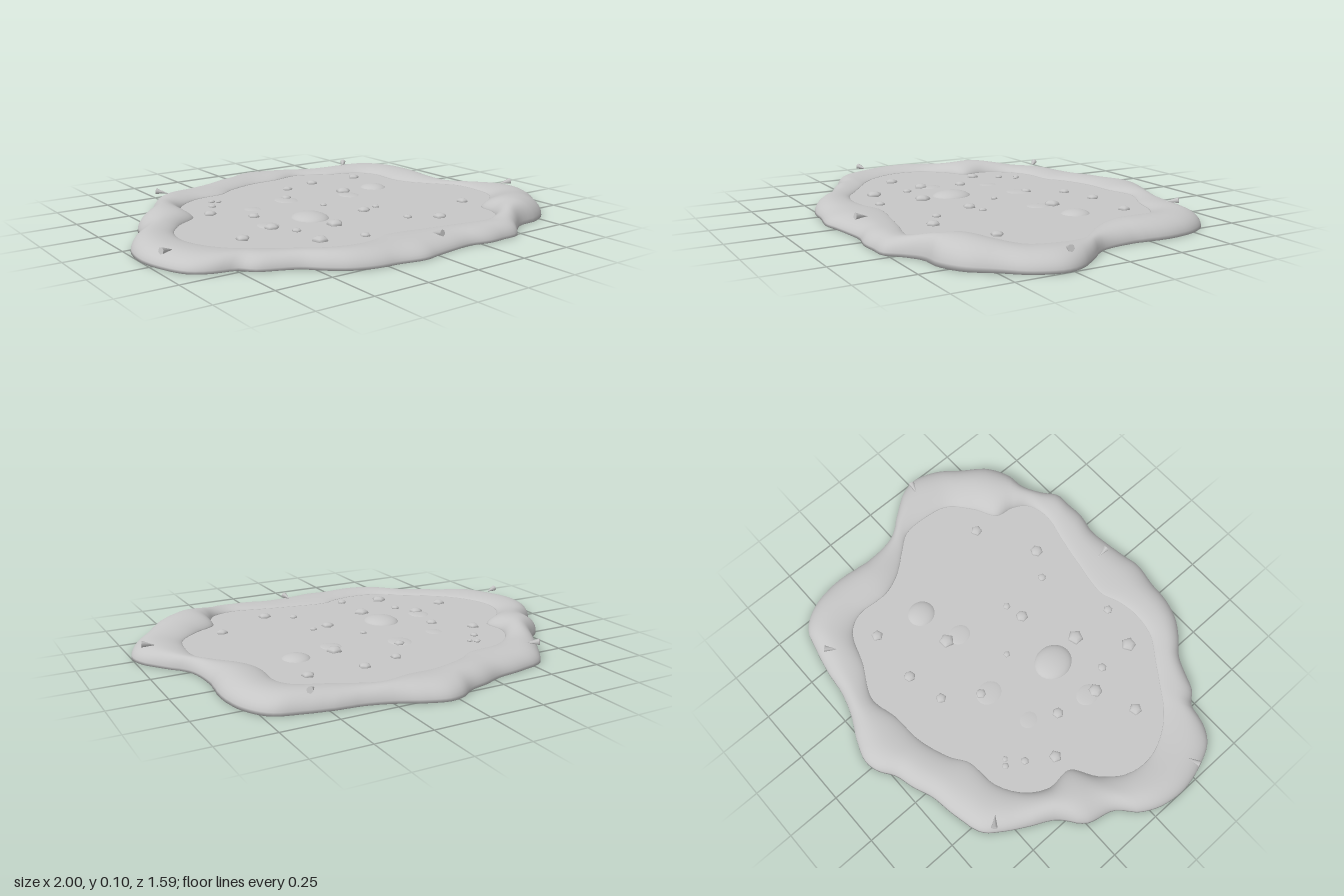
import * as THREE from 'three';

const FLOOR = 0.045, FLOOR_DEPTH = 0.022;

// Plan outlines as x, z pairs
const OUTER = [0.04, -0.8, 0.14, -0.77, 0.25, -0.715, 0.36, -0.68, 0.48, -0.665, 0.6, -0.64, 0.72, -0.6,
  0.79, -0.5, 0.82, -0.35, 0.805, -0.15, 0.83, 0, 0.91, 0.1, 0.98, 0.2, 1, 0.28, 0.96, 0.4, 0.88, 0.5,
  0.8, 0.6, 0.7, 0.65, 0.6, 0.66, 0.52, 0.71, 0.46, 0.765, 0.38, 0.77, 0.3, 0.775, 0.2, 0.755, 0.1, 0.765,
  0, 0.78, -0.08, 0.795, -0.2, 0.775, -0.3, 0.765, -0.4, 0.73, -0.48, 0.67, -0.54, 0.61, -0.62, 0.57,
  -0.7, 0.535, -0.75, 0.48, -0.84, 0.46, -0.92, 0.41, -0.97, 0.31, -1, 0.18, -0.985, 0.05, -0.94, -0.04,
  -0.86, -0.12, -0.82, -0.25, -0.72, -0.34, -0.66, -0.45, -0.6, -0.55, -0.54, -0.62, -0.4, -0.66,
  -0.28, -0.68, -0.19, -0.715, -0.1, -0.74, -0.03, -0.785];
const INNER = [0.1, -0.57, 0.24, -0.595, 0.4, -0.52, 0.55, -0.46, 0.6, -0.38, 0.6, -0.22, 0.64, -0.12,
  0.72, -0.02, 0.78, 0.06, 0.785, 0.2, 0.76, 0.3, 0.66, 0.39, 0.56, 0.45, 0.545, 0.53, 0.5, 0.6, 0.4, 0.63,
  0.25, 0.6, 0.1, 0.57, -0.08, 0.545, -0.16, 0.575, -0.26, 0.59, -0.38, 0.57, -0.5, 0.49, -0.6, 0.42,
  -0.68, 0.36, -0.76, 0.26, -0.8, 0.14, -0.78, 0.02, -0.7, -0.08, -0.6, -0.15, -0.6, -0.27, -0.54, -0.37,
  -0.43, -0.44, -0.28, -0.46, -0.2, -0.51, -0.05, -0.56];
// Rim crest height every 20 degrees, from +x towards +z
const CREST = [0.058, 0.072, 0.104, 0.063, 0.058, 0.06, 0.066, 0.06, 0.062, 0.072, 0.098, 0.072, 0.068, 0.072,
  0.072, 0.064, 0.075, 0.078];

// Radius of a smooth closed outline as a function of angle
function polar(list) {
  const pts = [];
  for (let i = 0; i < list.length; i += 2) pts.push(new THREE.Vector3(list[i], 0, list[i + 1]));
  const samples = new THREE.CatmullRomCurve3(pts, true).getPoints(1500).slice(0, -1)
    .map(p => [(Math.atan2(p.z, p.x) + 2 * Math.PI) % (2 * Math.PI), Math.hypot(p.x, p.z)])
    .sort((a, b) => a[0] - b[0]);
  return angle => {
    const k = samples.findIndex(s => s[0] >= angle);
    return k < 0 ? samples[samples.length - 1][1] : samples[k][1];
  };
}

function crest(angle) {
  const n = CREST.length, t = angle / (2 * Math.PI) * n, i = Math.floor(t) % n;
  const f = (1 - Math.cos((t - Math.floor(t)) * Math.PI)) / 2;
  return CREST[i] * (1 - f) + CREST[(i + 1) % n] * f;
}

// Rounded lumpy ring: a closed cross-section swept round the outlines, smooth all the way round
function rimGeometry(outer, inner) {
  const N = 240, M = 16, rings = M + 4, pos = [], idx = [];
  for (let i = 0; i < N; i++) {
    const a = i / N * Math.PI * 2, ro = outer(a), ri = inner(a), h = crest(a);
    const add = (r, y) => pos.push(r * Math.cos(a), y, r * Math.sin(a));
    // Top: steep outside, easing gently on to the floor inside
    for (let j = 0; j <= M; j++) {
      const p = j / M * Math.PI, s = Math.sin(p);
      add((ro + ri) / 2 + (ro - ri) / 2 * Math.cos(p), j <= M / 2 ? h * s : FLOOR + (h - FLOOR) * s ** 1.4);
    }
    // Underside: up to the floor inside, flat further out
    add(ri, FLOOR - FLOOR_DEPTH);
    add(ri * 0.65 + ro * 0.35, 0.006);
    add(ri * 0.2 + ro * 0.8, 0);
    const n = (i + 1) % N;
    for (let j = 0; j < rings; j++) {
      const k = (j + 1) % rings, p = i * rings, q = n * rings;
      idx.push(p + j, p + k, q + j, q + j, p + k, q + k);
    }
  }
  const g = new THREE.BufferGeometry();
  g.setAttribute('position', new THREE.Float32BufferAttribute(pos, 3));
  g.setIndex(idx);
  g.computeVertexNormals();
  return g;
}

export function createModel() {
  const group = new THREE.Group();
  const grey = new THREE.MeshStandardMaterial({ name: 'grey', color: 0xc6c6c6 });
  const add = (name, geometry, x = 0, y = 0, z = 0) => {
    const m = new THREE.Mesh(geometry, grey);
    m.name = name;
    m.position.set(x, y, z);
    group.add(m);
    return m;
  };
  const outer = polar(OUTER), inner = polar(INNER);

  add('rim', rimGeometry(outer, inner));

  // Flat slab inside the rim
  const outline = [];
  for (let i = 0; i < 200; i++) {
    const a = i / 200 * Math.PI * 2, r = inner(a) + 0.004;
    outline.push(new THREE.Vector2(r * Math.cos(a), r * Math.sin(a)));
  }
  const floor = new THREE.ExtrudeGeometry(new THREE.Shape(outline), { depth: FLOOR_DEPTH, bevelEnabled: false });
  add('floor', floor.rotateX(Math.PI / 2), 0, FLOOR, 0);

  // Large bubbles in the slab: x, z, radius x, radius z, half height, centre height
  const bubbles = [[-0.18, 0.14, 0.085, 0.095, 0.034, 0.035], [0.41, -0.16, 0.067, 0.071, 0.029, 0.033],
    [-0.42, -0.24, 0.062, 0.066, 0.016, 0.018], [-0.31, -0.13, 0.052, 0.058, 0.01, 0.038],
    [-0.095, -0.18, 0.056, 0.066, 0.008, 0.042], [0.21, -0.095, 0.05, 0.056, 0.008, 0.042],
    [-0.4, 0.15, 0.05, 0.06, 0.008, 0.042]];
  for (const [x, z, rx, rz, h, y] of bubbles) {
    add('bubble', new THREE.SphereGeometry(1, 24, 14), x, y, z).scale.set(rx, h, rz);
  }

  // Small five- and six-sided pebbles on the slab: x, z, radius
  const pebbles = [[0.03, -0.36, 0.025], [0.205, -0.4, 0.027], [0.46, -0.385, 0.028], [-0.4, -0.35, 0.016],
    [-0.375, -0.33, 0.014], [-0.44, -0.27, 0.018], [-0.515, -0.155, 0.029], [-0.075, -0.21, 0.024],
    [0.225, -0.16, 0.036], [-0.375, -0.01, 0.026], [-0.01, 0.005, 0.016], [-0.41, 0.19, 0.032],
    [-0.595, 0.265, 0.03], [-0.35, 0.29, 0.021], [-0.16, 0.3, 0.037], [0.085, 0.185, 0.029],
    [0.17, 0.165, 0.018], [0.17, 0.39, 0.02], [0.565, 0.32, 0.028], [0.29, 0.465, 0.03],
    [-0.35, 0.46, 0.035], [-0.16, 0.51, 0.022]];
  pebbles.forEach(([x, z, r], i) => {
    const m = add('pebble', new THREE.SphereGeometry(r, 5 + i % 2, 6), x, FLOOR + 0.003, z);
    m.scale.y = 0.5;
    m.rotation.y = i * 1.3;
  });

  // Little thorns on the rim, heads outward and tips inward
  for (const [x, z] of [[-0.555, -0.55], [0.54, -0.59], [0.935, 0.235], [-0.94, 0.285], [0.07, 0.69]]) {
    const a = Math.atan2(z, x), y = crest((a + 2 * Math.PI) % (2 * Math.PI));
    const thorn = add('thorn', new THREE.ConeGeometry(0.015, 0.06, 6), x, y + 0.004, z);
    thorn.quaternion.setFromUnitVectors(new THREE.Vector3(0, 1, 0),
      new THREE.Vector3(-Math.cos(a), -0.15, -Math.sin(a)).normalize());
  }
  return group;
}
